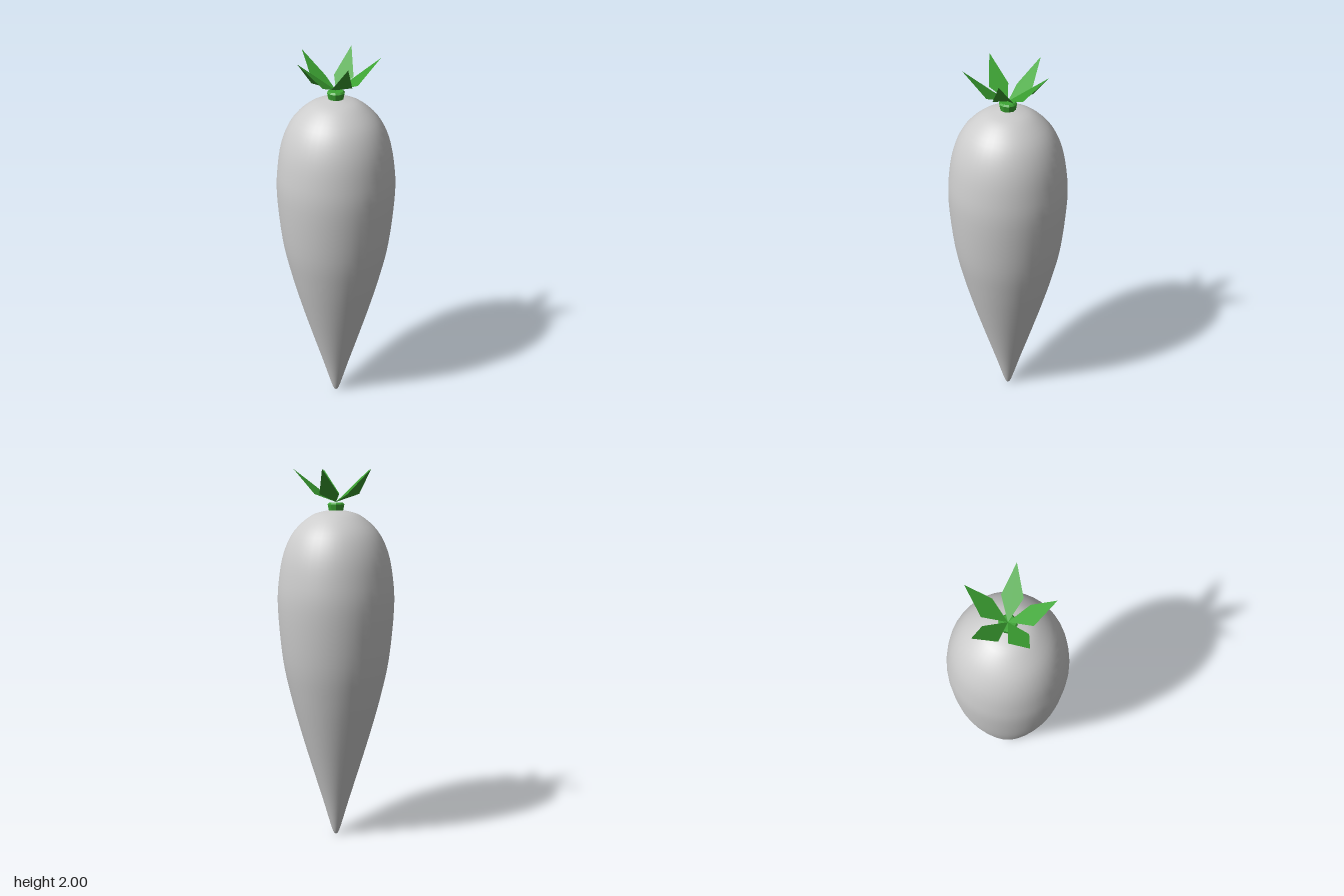
import * as THREE from 'three';

export function createModel() {
  const model = new THREE.Group();
  const rootMat = new THREE.MeshStandardMaterial({ color: 0xcccccc });
  rootMat.name = 'pale grey';
  const leafMat = new THREE.MeshStandardMaterial({ color: 0x3da533, side: THREE.DoubleSide });
  leafMat.name = 'leaf green';

  const lathe = (points, segments) =>
    new THREE.LatheGeometry(points.map(([r, y]) => new THREE.Vector2(r, y)), segments);
  const add = (name, geometry, material, parent = model) => {
    const mesh = new THREE.Mesh(geometry, material);
    mesh.name = name;
    parent.add(mesh);
    return mesh;
  };

  // Smooth tapering root, pointed below and domed above
  const profile = new THREE.SplineCurve([
    [0, 0], [0.018, 0.015], [0.073, 0.2], [0.134, 0.4], [0.193, 0.6], [0.246, 0.8],
    [0.287, 1.0], [0.311, 1.27], [0.303, 1.43], [0.275, 1.57], [0.22, 1.68],
    [0.13, 1.76], [0.045, 1.786], [0, 1.79],
  ].map(([r, y]) => new THREE.Vector2(r, y))).getPoints(52);
  add('root', lathe(profile.map((p) => [Math.max(p.x, 0), p.y]), 40), rootMat);

  // Short faceted stem, flared upward with a bevelled rim
  const stem = lathe([[0.036, 1.77], [0.046, 1.818], [0.038, 1.827], [0, 1.827]], 10).toNonIndexed();
  stem.computeVertexNormals();
  add('stem', stem, leafMat);

  // Kite-shaped leaf: raised spine, drooping side corners, one even normal
  const leaf = new THREE.BufferGeometry();
  leaf.setAttribute('position', new THREE.Float32BufferAttribute([
    0, 1.83, 0,
    0.111, 1.872, 0.053,
    0.222, 2, 0,
    0.111, 1.872, -0.053,
  ], 3));
  const n = new THREE.Vector3(-0.17, 0.222, 0).normalize().toArray();
  leaf.setAttribute('normal', new THREE.Float32BufferAttribute([...n, ...n, ...n, ...n], 3));
  leaf.setIndex([0, 1, 2, 0, 2, 3]);

  const leaves = new THREE.Group();
  leaves.name = 'leaves';
  for (let i = 0; i < 5; i++) {
    add('leaf', leaf, leafMat, leaves).rotation.y = (i * Math.PI * 2) / 5;
  }
  model.add(leaves);
  return model;
}
